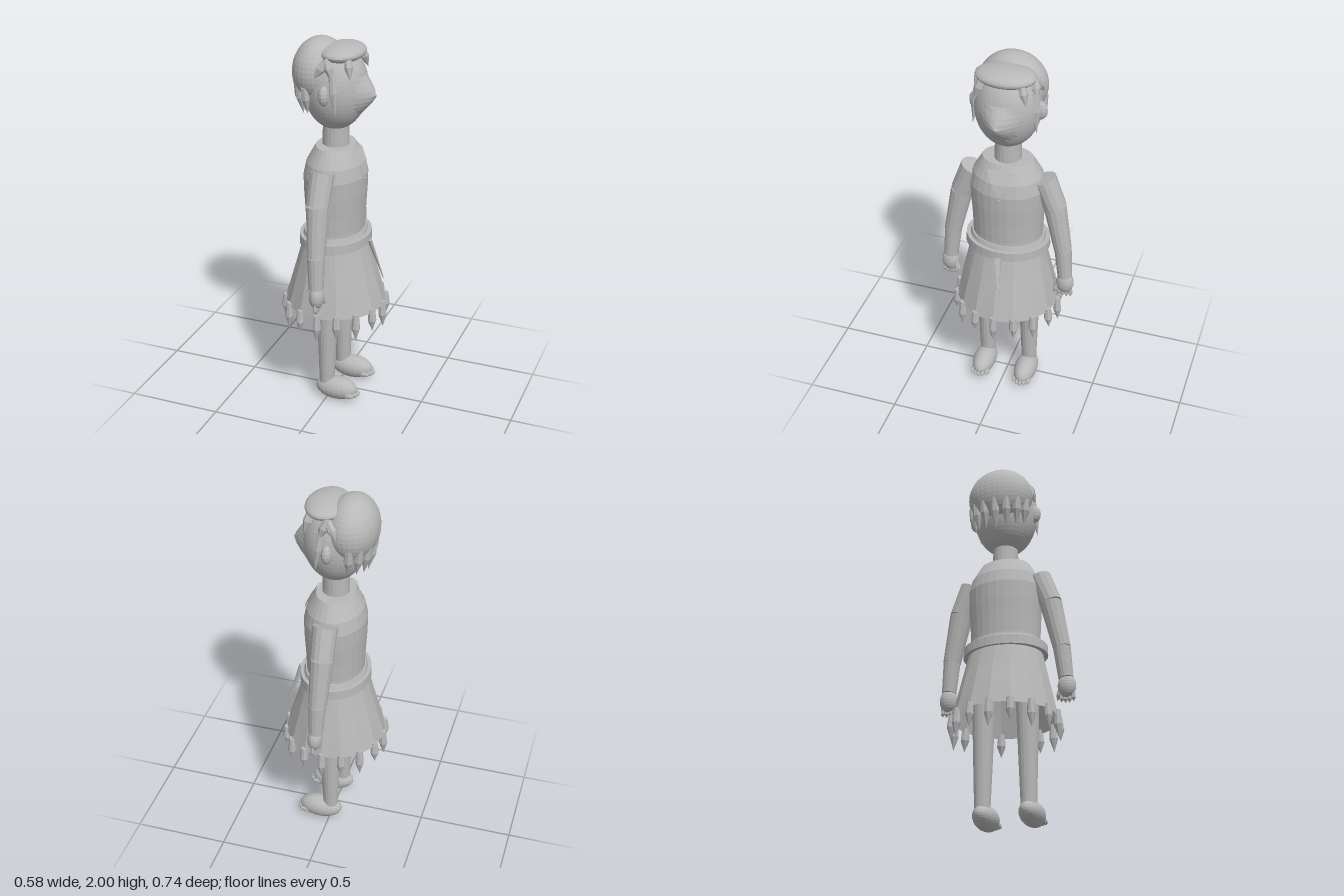
import * as THREE from 'three';

const clay = new THREE.MeshStandardMaterial({ color: 0xb8b8b8, flatShading: true });
clay.name = 'clay grey';
const cloth = clay.clone();
cloth.name = 'clay grey cloth';
cloth.side = THREE.DoubleSide;

const V = (x, y, z) => new THREE.Vector3(x, y, z);

function add(group, name, geometry, material = clay) {
  const mesh = new THREE.Mesh(geometry, material);
  mesh.name = name;
  group.add(mesh);
  return mesh;
}

function ellipsoid(group, name, c, r, w = 28, h = 18) {
  const g = new THREE.SphereGeometry(1, w, h);
  g.scale(...r);
  g.translate(...c);
  return add(group, name, g);
}

// place a y-axis geometry of unit length (base at 0) between two points
function aim(geometry, from, to) {
  const dir = to.clone().sub(from);
  geometry.scale(1, dir.length(), 1);
  geometry.applyQuaternion(new THREE.Quaternion().setFromUnitVectors(V(0, 1, 0), dir.normalize()));
  return geometry.translate(from.x, from.y, from.z);
}

function limb(group, name, from, to, r0, r1, sides = 14) {
  const g = new THREE.CylinderGeometry(r1, r0, 1, sides).translate(0, 0.5, 0);
  return add(group, name, aim(g, from, to));
}

// pointed spindle: blunt base, widest at "belly", sharp tip
function spike(group, name, from, to, r, belly = 0.5, sides = 7) {
  const pts = [[0, 0], [0.75 * r, 0], [r, belly], [0, 1]].map(p => new THREE.Vector2(...p));
  return add(group, name, aim(new THREE.LatheGeometry(pts, sides), from, to));
}

// elliptical rings [y, rx, rz, pleat depth], listed from bottom to top
function loft(rings, n, pleats = 0) {
  const pos = [], index = [];
  rings.forEach(([y, rx, rz, wave = 0]) => {
    for (let i = 0; i < n; i++) {
      const a = (i / n) * Math.PI * 2, k = 1 + wave * Math.cos(a * pleats);
      pos.push(rx * k * Math.cos(a), y, rz * k * Math.sin(a));
    }
  });
  for (let j = 0; j < rings.length - 1; j++) {
    for (let i = 0; i < n; i++) {
      const a = j * n + i, b = j * n + (i + 1) % n;
      index.push(a, a + n, b, b, a + n, b + n);
    }
  }
  const g = new THREE.BufferGeometry();
  g.setAttribute('position', new THREE.Float32BufferAttribute(pos, 3));
  g.setIndex(index);
  g.computeVertexNormals();
  return g;
}

function buildHead() {
  const head = new THREE.Group();
  head.name = 'head';

  // face, with the nose pulled out of the sphere towards +x
  const face = new THREE.SphereGeometry(1, 40, 28).scale(0.165, 0.222, 0.17).translate(0, 1.752, 0);
  const p = face.attributes.position;
  for (let i = 0; i < p.count; i++) {
    if (p.getX(i) < 0) continue;
    const d = Math.hypot(p.getZ(i) / 0.1, (p.getY(i) - 1.725) / 0.1);
    p.setX(i, p.getX(i) + 0.056 * Math.max(0, 1 - d));
  }
  face.computeVertexNormals();
  add(head, 'face', face);

  // hair volumes
  ellipsoid(head, 'back hair', [-0.085, 1.832, 0], [0.135, 0.168, 0.178], 32, 20);
  ellipsoid(head, 'front hair', [0.04, 1.938, 0], [0.11, 0.044, 0.155], 32, 14);

  // locks hanging round the back of the head
  for (let i = -3; i <= 3; i++) {
    const a = i * 0.4, c = Math.cos(a), s = Math.sin(a);
    spike(head, 'back lock', V(-0.06 - 0.135 * c, 1.78, 0.165 * s),
      V(-0.06 - 0.105 * c, 1.6 + 0.012 * Math.abs(i), 0.145 * s), 0.025, 0.45);
  }

  for (const s of [1, -1]) {
    ellipsoid(head, 'ear', [0.0, 1.75, s * 0.163], [0.028, 0.052, 0.04], 12, 8);
    // locks at temple and forehead
    spike(head, 'side lock', V(0.035, 1.86, s * 0.145), V(0.06, 1.65, s * 0.165), 0.024, 0.45);
    spike(head, 'temple lock', V(0.0, 1.93, s * 0.135), V(0.05, 1.81, s * 0.16), 0.026, 0.4);
    spike(head, 'ear lock', V(0.0, 1.92, s * 0.14), V(-0.06, 1.82, s * 0.17), 0.024, 0.4);
    spike(head, 'forehead lock', V(0.1, 1.93, s * 0.1), V(0.125, 1.83, s * 0.13), 0.024, 0.4);
  }
  return head;
}

function buildArm(s) {
  const arm = new THREE.Group();
  arm.name = s > 0 ? 'leftArm' : 'rightArm';
  const shoulder = V(0, 1.35, s * 0.19), bicep = V(0, 1.19, s * 0.252);
  const elbow = V(0.01, 0.93, s * 0.304), wrist = V(0.016, 0.76, s * 0.32);
  limb(arm, 'sleeve top', shoulder, bicep, 0.064, 0.06);
  limb(arm, 'sleeve', bicep, elbow, 0.06, 0.047);
  limb(arm, 'forearm', elbow, wrist, 0.046, 0.039);

  // hand with fingers and inner thumb
  ellipsoid(arm, 'hand', [0.02, 0.718, s * 0.323], [0.039, 0.064, 0.048], 18, 12);
  for (let i = 0; i < 4; i++) {
    const z = 0.293 + i * 0.021;
    spike(arm, 'finger', V(0.022, 0.69, s * z), V(0.026, 0.622 + 0.007 * Math.abs(i - 1.5), s * z), 0.012, 0.7, 6);
  }
  spike(arm, 'thumb', V(0.03, 0.72, s * 0.29), V(0.042, 0.65, s * 0.264), 0.014, 0.6, 6);
  return arm;
}

function buildLeg(s) {
  const leg = new THREE.Group();
  leg.name = s > 0 ? 'leftLeg' : 'rightLeg';
  limb(leg, 'shin and thigh', V(-0.004, 0.1, s * 0.122), V(-0.002, 0.75, s * 0.118), 0.041, 0.064, 18);
  ellipsoid(leg, 'foot', [0.052, 0.069, s * 0.122], [0.118, 0.064, 0.062], 24, 16);
  for (let i = -2; i <= 2; i++) {
    ellipsoid(leg, 'toe', [0.152 - 0.005 * i * i, 0.05, s * 0.122 + i * 0.02], [0.034, 0.016, 0.012], 10, 6);
  }
  return leg;
}

export function createModel() {
  const model = new THREE.Group();
  model.name = 'figure';
  model.add(buildHead());
  limb(model, 'neck', V(0, 1.42, 0), V(0, 1.58, 0), 0.071, 0.066, 20);

  // tunic with a flat shoulder opening
  add(model, 'tunic', loft([
    [0.93, 0.152, 0.188], [1.0, 0.15, 0.186], [1.1, 0.154, 0.19], [1.2, 0.16, 0.197],
    [1.29, 0.162, 0.2], [1.36, 0.147, 0.184], [1.41, 0.12, 0.156], [1.448, 0.098, 0.134], [1.448, 0.05, 0.05],
  ], 28), cloth);

  // neck flap lying on the chest, with a stud under its point
  const flap = new THREE.BufferGeometry();
  flap.setAttribute('position', new THREE.Float32BufferAttribute([
    0.112, 1.425, 0.078, 0.112, 1.425, -0.078, 0.15, 1.365, 0.045, 0.15, 1.365, -0.045, 0.17, 1.3, 0,
  ], 3));
  flap.setIndex([0, 2, 1, 1, 2, 3, 2, 4, 3]);
  flap.computeVertexNormals();
  add(model, 'neck flap', flap, cloth);
  ellipsoid(model, 'stud', [0.162, 1.276, 0], [0.007, 0.007, 0.007], 8, 6);

  // belt, tunic hem above it and hanging tie
  add(model, 'belt', loft([
    [0.912, 0.15, 0.18], [0.912, 0.186, 0.226], [0.962, 0.184, 0.224], [0.962, 0.15, 0.18],
  ], 32), cloth);
  add(model, 'tunic hem', loft([[0.955, 0.168, 0.205], [0.985, 0.158, 0.196, 0.01], [0.985, 0.14, 0.17]], 32, 8), cloth);
  const tie = aim(new THREE.CylinderGeometry(0.005, 0.022, 1, 8).translate(0, 0.5, 0).scale(0.5, 1, 1),
    V(0.19, 0.93, 0.0), V(0.258, 0.71, -0.028));
  add(model, 'belt tie', tie);

  // flared skirt with soft pleats
  add(model, 'skirt', loft([
    [0.56, 0.266, 0.275, 0.015], [0.68, 0.234, 0.25, 0.012], [0.8, 0.2, 0.224, 0.008], [0.93, 0.166, 0.196],
  ], 48, 16), cloth);

  // hanging points round the skirt hem
  for (let i = 0; i < 16; i++) {
    const a = (i / 16) * Math.PI * 2, c = Math.cos(a), s = Math.sin(a);
    spike(model, 'hem point', V(0.264 * c, 0.582, 0.276 * s),
      V(0.27 * c, i % 2 ? 0.455 : 0.43, 0.284 * s), 0.023, 0.52, 8);
  }

  for (const s of [1, -1]) model.add(buildArm(s), buildLeg(s));
  return model;
}
